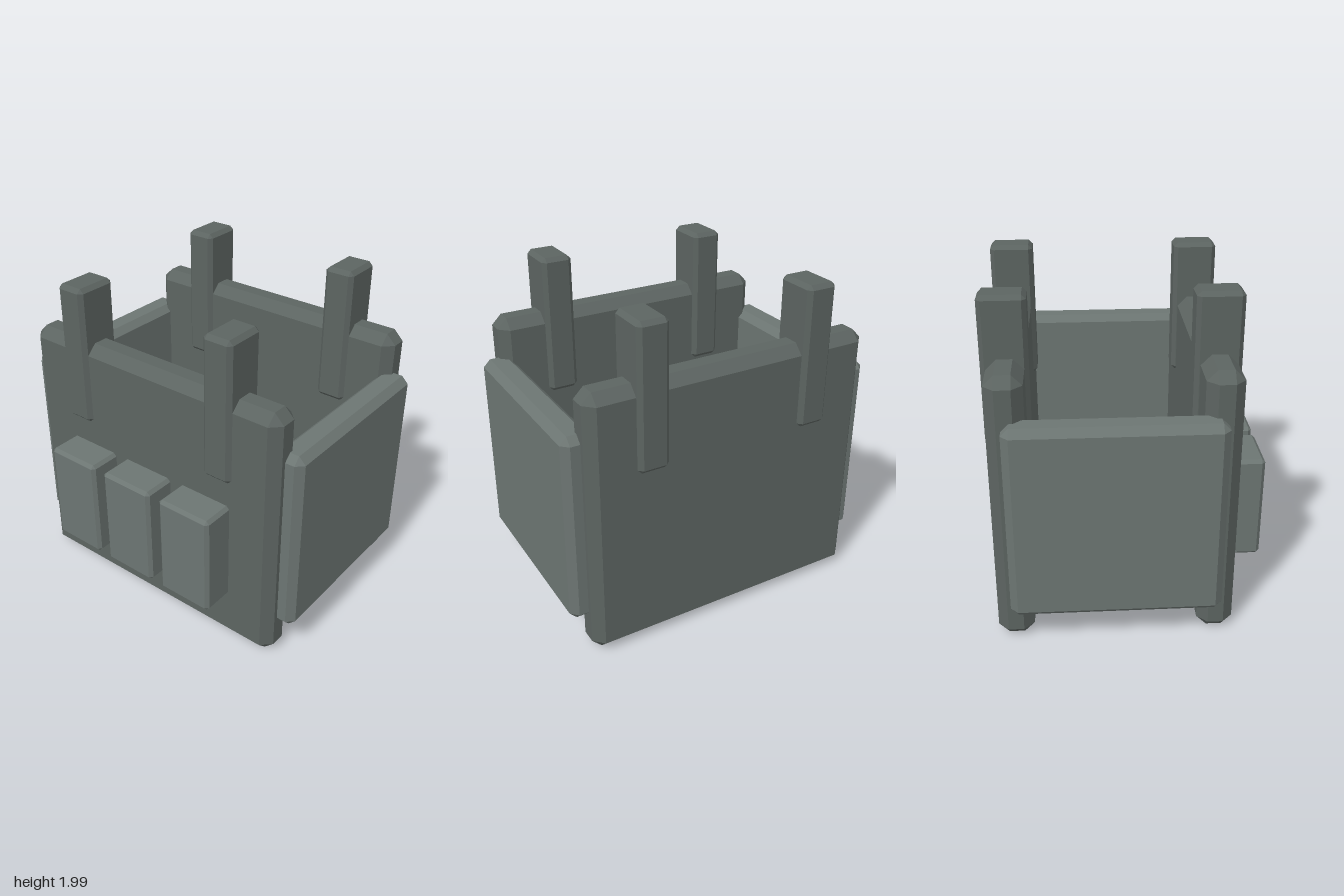
import * as THREE from 'three';
import { ConvexGeometry } from 'three/addons/geometries/ConvexGeometry.js';

const dark = new THREE.MeshStandardMaterial({ color: 0x5c6461, flatShading: true });
const light = new THREE.MeshStandardMaterial({ color: 0x6c7572, flatShading: true });

// Box between two corners, with every edge cut at 45 degrees by c
function bevelBox(name, min, max, c, material) {
  const size = max.map((v, i) => (v - min[i]) / 2);
  const points = [];
  for (const sx of [-1, 1]) for (const sy of [-1, 1]) for (const sz of [-1, 1]) {
    const s = [sx, sy, sz];
    for (let axis = 0; axis < 3; axis++) {
      // only the chosen axis reaches the full extent
      points.push(new THREE.Vector3(...s.map((v, i) => v * (size[i] - (i === axis ? 0 : c)))));
    }
  }
  const mesh = new THREE.Mesh(new ConvexGeometry(points), material);
  mesh.name = name;
  mesh.position.set(...min.map((v, i) => (v + max[i]) / 2));
  return mesh;
}

export function createModel() {
  const model = new THREE.Group();
  model.name = 'plateVest';

  // Large front and back plates
  model.add(bevelBox('frontPlate', [-0.9, 0, 0.39], [0.9, 1.635, 0.6], 0.06, dark));
  model.add(bevelBox('backPlate', [-0.9, 0, -0.775], [0.9, 1.635, -0.565], 0.06, dark));

  for (const side of [-1, 1]) {
    const label = side > 0 ? 'left' : 'right';
    // Side plates joining front and back
    const x = [side * 0.813, side * 1].sort((a, b) => a - b);
    model.add(bevelBox(label + 'SidePlate', [x[0], 0.21, -0.69], [x[1], 1.385, 0.515], 0.043, light));

    // Shoulder strap stubs straddling the plate tops
    const s = [side * 0.43, side * 0.618].sort((a, b) => a - b);
    model.add(bevelBox(label + 'FrontStrap', [s[0], 1.125, 0.36], [s[1], 1.985, 0.625], 0.025, dark));
    model.add(bevelBox(label + 'BackStrap', [s[0], 1.125, -0.805], [s[1], 1.985, -0.54], 0.025, dark));
  }

  // Row of three pouches on the front plate
  for (let i = -1; i <= 1; i++) {
    const x = i * 0.43 - 0.003;
    model.add(bevelBox('pouch' + (i + 2), [x - 0.178, 0.328, 0.5], [x + 0.178, 0.97, 0.797], 0.02, light));
  }
  return model;
}
